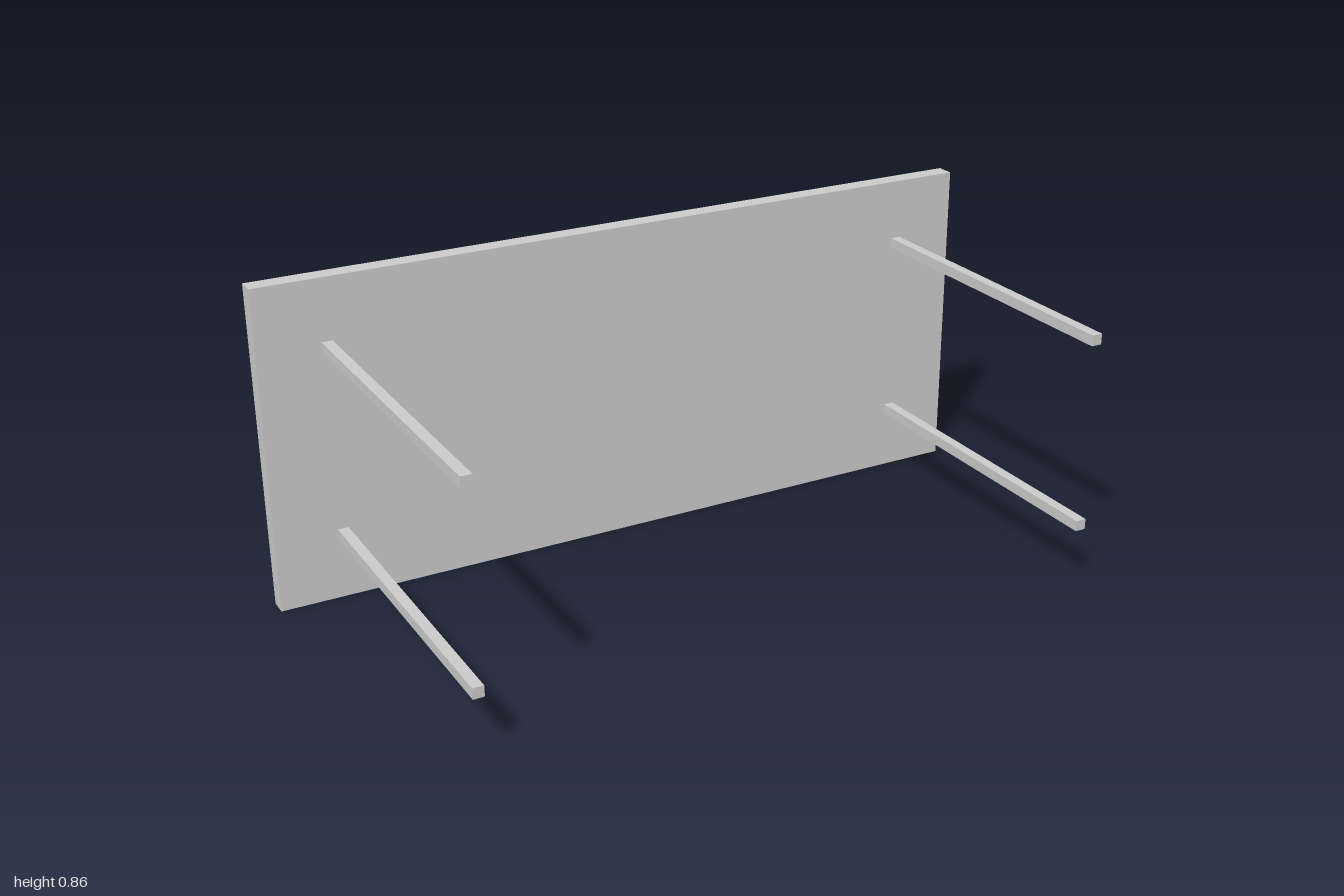
import * as THREE from 'three';

// A table resting on its long edge: the top stands upright at the back, legs point to +z.
export function createModel() {
  const group = new THREE.Group();
  const material = new THREE.MeshStandardMaterial({ color: 0xcccccc, flatShading: true });

  const width = 2, height = 0.855, depth = 0.916, thickness = 0.049;
  const legSize = 0.028, legX = 0.823, legSpread = 0.251;
  const legLength = depth - thickness;

  const addBox = (name, size, position) => {
    const mesh = new THREE.Mesh(new THREE.BoxGeometry(...size), material);
    mesh.name = name;
    mesh.position.set(...position);
    group.add(mesh);
  };

  // Table top
  addBox('tableTop', [width, height, thickness], [0, height / 2, (thickness - depth) / 2]);

  // Four square legs
  for (const [side, sx] of [['left', 1], ['right', -1]]) {
    for (const [level, sy] of [['Upper', 1], ['Lower', -1]]) {
      addBox(`${side}${level}Leg`, [legSize, legSize, legLength],
        [sx * legX, height / 2 + sy * legSpread, thickness / 2]);
    }
  }
  return group;
}
